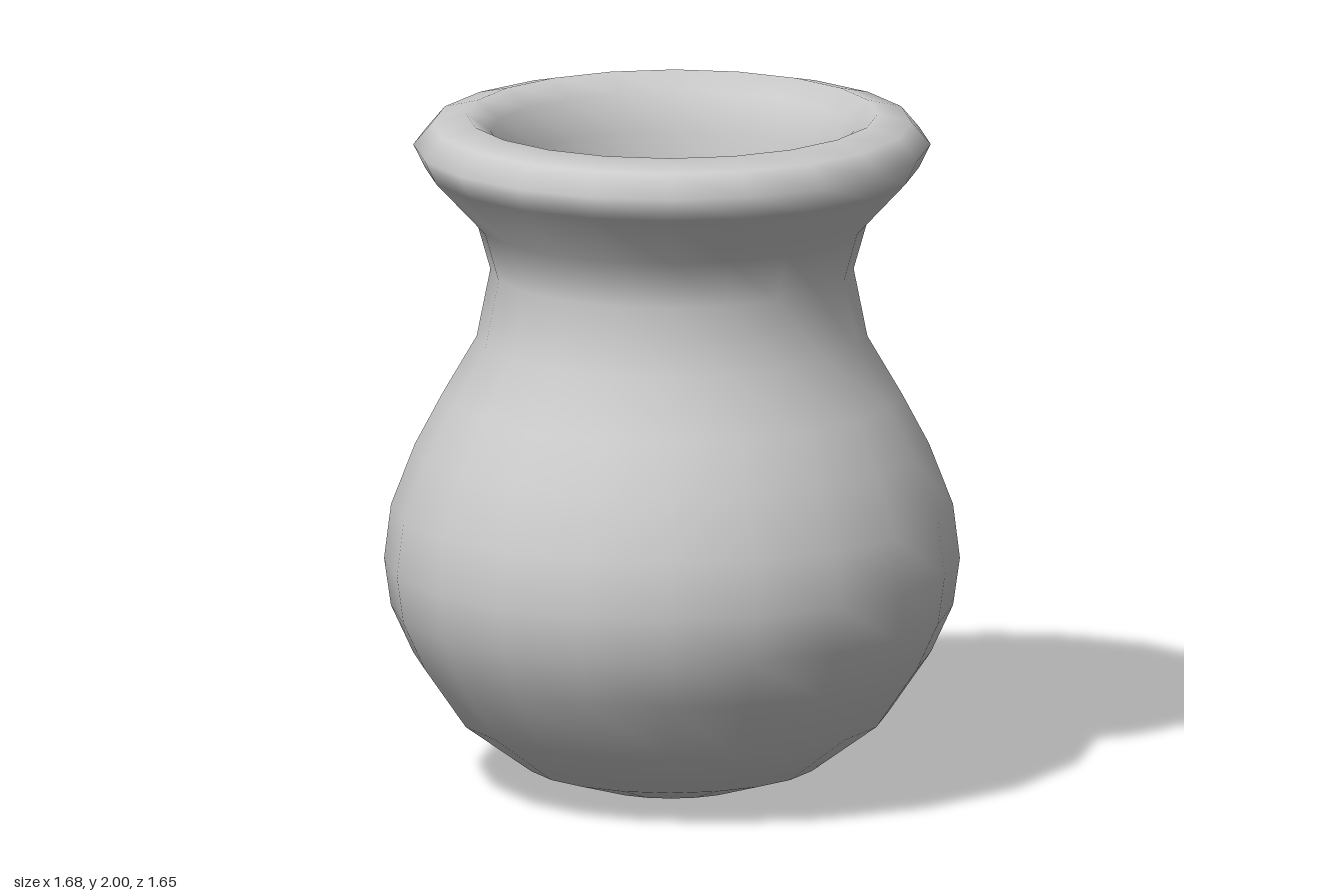
import * as THREE from 'three';

const SIDES = 20;
const material = new THREE.MeshStandardMaterial({ color: 0xcccccc, side: THREE.DoubleSide });

// Smooth turned surface from [radius, height] pairs
function turned(name, profile) {
  const points = profile.map(([r, y]) => new THREE.Vector2(r, y));
  const mesh = new THREE.Mesh(new THREE.LatheGeometry(points, SIDES), material);
  mesh.name = name;
  return mesh;
}

export function createModel() {
  const group = new THREE.Group();
  group.name = 'pot';

  // One continuous skin: round belly, waisted neck, rolled rim, inner well
  const pot = turned('potBody', [
    // belly
    [0, 0], [0.23, 0.015], [0.43, 0.075], [0.63, 0.22], [0.755, 0.4],
    [0.82, 0.54], [0.84, 0.68], [0.82, 0.84], [0.75, 1.02], [0.67, 1.17],
    // neck
    [0.57, 1.34], [0.53, 1.54], [0.57, 1.68],
    // rolled rim
    [0.72, 1.84], [0.755, 1.91], [0.70, 1.975], [0.6, 2.0], [0.53, 1.95],
    // inner well
    [0.495, 1.84], [0.47, 1.7], [0.45, 1.5], [0.415, 1.3], [0.4, 1.05],
    [0.35, 0.92], [0.28, 0.88], [0, 0.87],
  ]);
  // belly is slightly narrower front to back
  pot.scale.z = 0.985;
  group.add(pot);
  return group;
}
